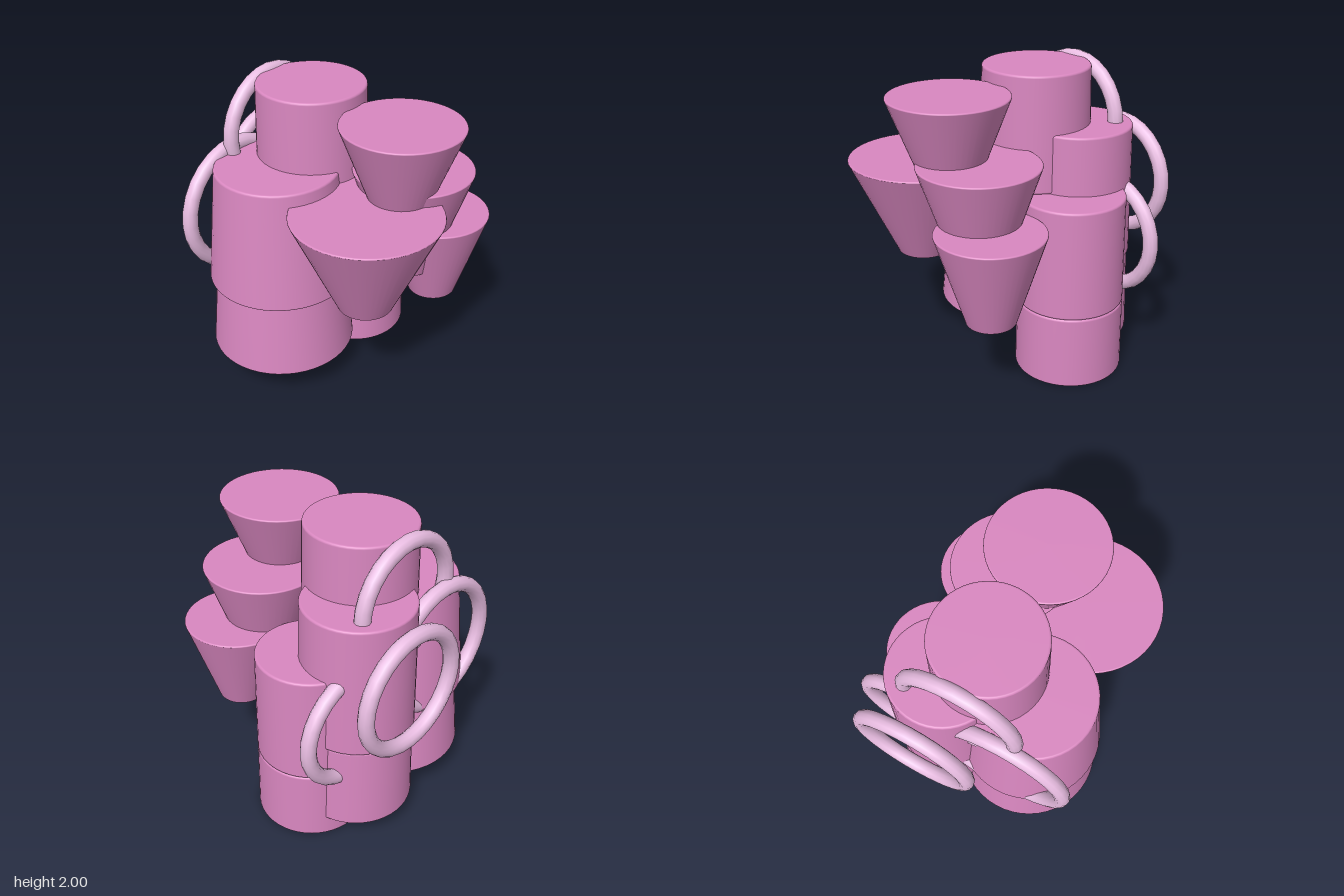
import * as THREE from 'three';

const bodyMaterial = new THREE.MeshStandardMaterial({ color: 0xd987c0 });
const handleMaterial = new THREE.MeshStandardMaterial({ color: 0xe9bde2 });

// Closed tapered drum with softly rounded rims, from y0 (radius r0) to y1 (radius r1)
function drum(name, x, z, y0, y1, r0, r1, bevel) {
  const points = [new THREE.Vector2(0, y0)];
  for (let i = 0; i <= 4; i++) {
    const a = (i / 4) * Math.PI / 2;
    points.push(new THREE.Vector2(r0 - bevel + bevel * Math.sin(a), y0 + bevel - bevel * Math.cos(a)));
  }
  for (let i = 0; i <= 4; i++) {
    const a = (i / 4) * Math.PI / 2;
    points.push(new THREE.Vector2(r1 - bevel + bevel * Math.cos(a), y1 - bevel + bevel * Math.sin(a)));
  }
  points.push(new THREE.Vector2(0, y1));
  const mesh = new THREE.Mesh(new THREE.LatheGeometry(points, 48), bodyMaterial);
  mesh.name = name;
  mesh.position.set(x, 0, z);
  return mesh;
}

// Each vessel: two-part body, flared cone in front, ring handle behind
const vessels = [
  {
    name: 'lowVessel', x: 0.37, z: -0.22, y: [0.005, 0.495, 1.22],
    lower: [0.355, 0.347], upper: [0.347, 0.337],
    cone: { x: 0.37, z: 0.45, y: [0.55, 1.15], r: [0.16, 0.342] },
    ring: { y: 0.855, z: -0.57, r: 0.415 },
  },
  {
    name: 'wideVessel', x: -0.325, z: -0.28, y: [0.22, 0.73, 1.51],
    lower: [0.473, 0.425], upper: [0.465, 0.392],
    cone: { x: -0.33, z: 0.43, y: [0.79, 1.43], r: [0.175, 0.46] },
    ring: { y: 1.12, z: -0.655, r: 0.465 },
  },
  {
    name: 'rearVessel', x: 0.185, z: -0.435, y: [0.14, 0.72, 1.6],
    lower: [0.373, 0.355], upper: [0.366, 0.348],
    cone: { x: 0.19, z: 0.385, y: [0.79, 1.51], r: [0.145, 0.38] },
    ring: { y: 1.155, z: -0.85, r: 0.425 },
  },
  {
    name: 'highVessel', x: -0.02, z: -0.255, y: [0.72, 1.22, 1.97],
    lower: [0.367, 0.355], upper: [0.36, 0.345],
    cone: { x: -0.02, z: 0.44, y: [1.27, 1.89], r: [0.145, 0.374] },
    ring: { y: 1.585, z: -0.61, r: 0.415 },
  },
];

function createVessel(v) {
  const group = new THREE.Group();
  group.name = v.name;
  const { cone, ring } = v;
  group.add(drum('lowerBody', v.x, v.z, v.y[0], v.y[1], ...v.lower, 0.015));
  group.add(drum('upperBody', v.x, v.z, v.y[1], v.y[2], ...v.upper, 0.015));
  group.add(drum('flaredCone', cone.x, cone.z, ...cone.y, ...cone.r, 0.01));

  const tube = 0.05;
  const handle = new THREE.Mesh(new THREE.TorusGeometry(ring.r - tube, tube, 12, 28), handleMaterial);
  handle.name = 'ringHandle';
  handle.position.set(v.x, ring.y, ring.z);
  group.add(handle);
  return group;
}

export function createModel() {
  const model = new THREE.Group();
  model.name = 'vesselCluster';
  vessels.forEach((v) => model.add(createVessel(v)));
  return model;
}
